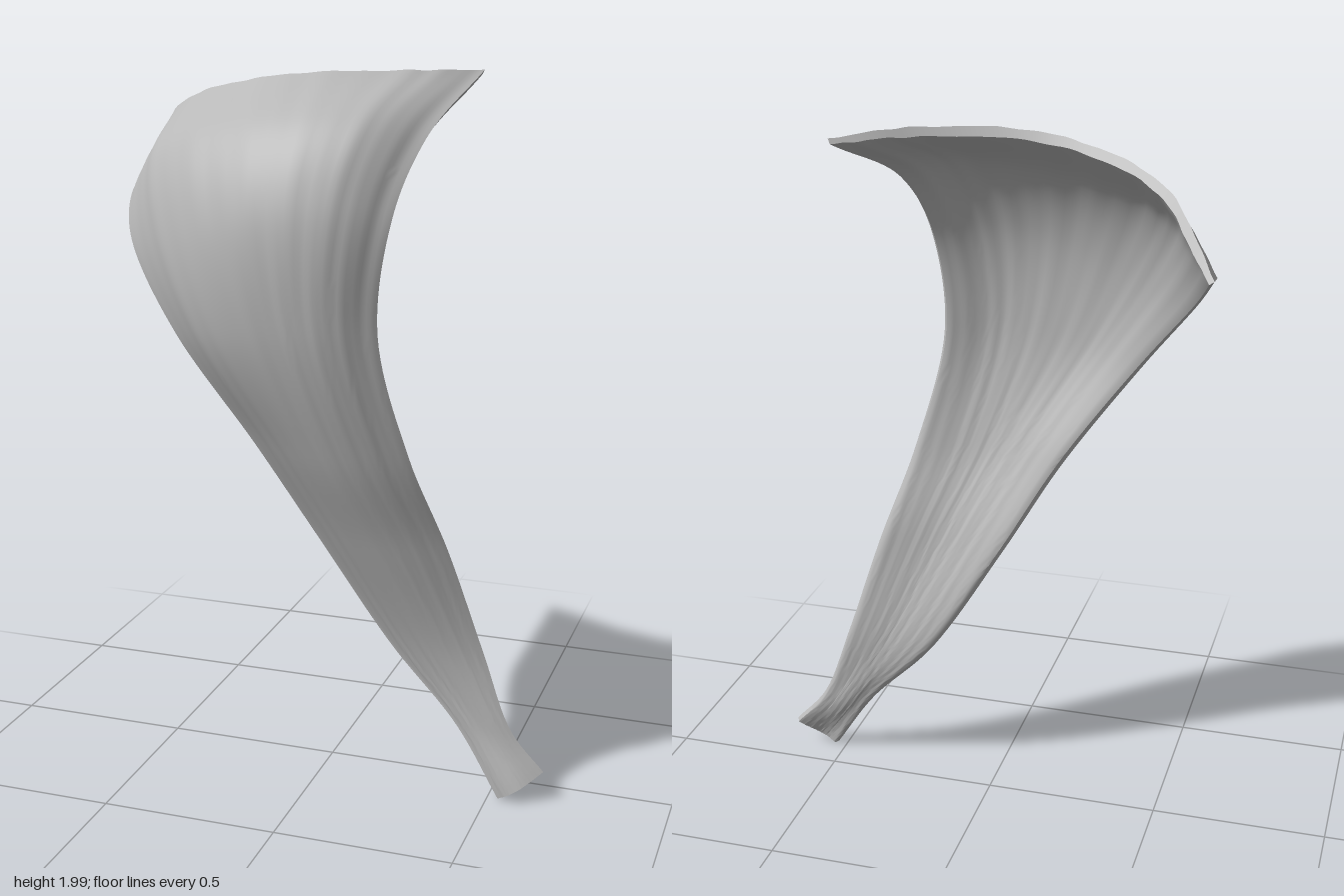
import * as THREE from 'three';
import { toCreasedNormals } from 'three/addons/utils/BufferGeometryUtils.js';

const curve = (pts) => new THREE.CatmullRomCurve3(pts.map((p) => new THREE.Vector3(...p)));

// Guide lines along the outer face, from the narrow foot to the flared rim
const guides = [
  [[0.53, 0.005, 0.12], [0.398, 0.2, 0.09], [0.2, 0.41, 0.072], [-0.005, 0.73, 0.12], [-0.165, 1, 0.18],
    [-0.38, 1.3, 0.21], [-0.545, 1.52, 0.115], [-0.61, 1.63, -0.02], [-0.655, 1.715, -0.335]],
  [[0.56, 0.025, 0.133], [0.437, 0.2, 0.102], [0.267, 0.415, 0.097], [0.093, 0.73, 0.17], [-0.055, 1, 0.245],
    [-0.24, 1.32, 0.31], [-0.37, 1.58, 0.256], [-0.45, 1.77, 0.125], [-0.47, 1.893, -0.1]],
  [[0.59, 0.045, 0.13], [0.477, 0.2, 0.102], [0.335, 0.42, 0.111], [0.19, 0.73, 0.19], [0.065, 1, 0.275],
    [-0.05, 1.35, 0.342], [-0.1, 1.66, 0.325], [-0.12, 1.85, 0.22], [-0.15, 1.978, 0.01]],
  [[0.62, 0.067, 0.11], [0.516, 0.2, 0.1], [0.402, 0.42, 0.1], [0.285, 0.73, 0.17], [0.18, 1, 0.26],
    [0.095, 1.36, 0.328], [0.11, 1.68, 0.302], [0.15, 1.88, 0.18], [0.19, 1.992, -0.085]],
  [[0.65, 0.09, 0.085], [0.555, 0.2, 0.085], [0.468, 0.42, 0.075], [0.373, 0.73, 0.125], [0.287, 1, 0.21],
    [0.21, 1.35, 0.26], [0.237, 1.65, 0.225], [0.283, 1.83, 0.095], [0.352, 1.985, -0.25]],
].map(curve);

const ROWS = 90;
const COLS = 56;

// Fine ridges that follow the fibres
function ridge(u, v) {
  const s = Math.sin(u * 47 + 2 * Math.sin(v * 5)) + 0.7 * Math.sin(u * 83 + 3 * Math.sin(v * 4 + u * 6));
  return 0.0014 * s * (0.3 + 0.7 * v);
}

// A fleshy belly that thins towards the long edges, the foot and the rim
function thickness(u, v) {
  const side = Math.pow(Math.max(0, Math.sin(Math.PI * u)), 0.6);
  const belly = 0.012 + 0.03 * Math.sin(Math.PI * v);
  return 0.016 + belly * side;
}

function sheetGeometry() {
  // Outer face sampled across the guide lines
  const grid = [];
  for (let r = 0; r <= ROWS; r++) {
    const across = new THREE.CatmullRomCurve3(guides.map((g) => g.getPoint(r / ROWS)));
    grid.push(across.getPoints(COLS));
  }

  // Each row becomes a closed loop: outer face, then inner face backwards
  const positions = [];
  const ringSize = 2 * (COLS + 1);
  const du = new THREE.Vector3();
  const dv = new THREE.Vector3();
  for (let r = 0; r <= ROWS; r++) {
    const v = r / ROWS;
    const outer = [];
    const inner = [];
    for (let c = 0; c <= COLS; c++) {
      const u = c / COLS;
      du.subVectors(grid[r][Math.min(c + 1, COLS)], grid[r][Math.max(c - 1, 0)]);
      dv.subVectors(grid[Math.min(r + 1, ROWS)][c], grid[Math.max(r - 1, 0)][c]);
      const n = du.clone().cross(dv).normalize();
      outer.push(grid[r][c].clone().addScaledVector(n, ridge(u, v)));
      inner.unshift(grid[r][c].clone().addScaledVector(n, ridge(u + 0.3, v) - thickness(u, v)));
    }
    for (const p of [...outer, ...inner]) positions.push(p.x, p.y, p.z);
  }

  const index = [];
  for (let r = 0; r < ROWS; r++) {
    for (let j = 0; j < ringSize; j++) {
      const k = (j + 1) % ringSize;
      const a = r * ringSize + j, b = r * ringSize + k;
      const c = b + ringSize, d = a + ringSize;
      index.push(a, b, c, a, c, d);
    }
  }
  // Close the foot and the rim
  const top = ROWS * ringSize;
  for (let c = 0; c < COLS; c++) {
    const i0 = ringSize - 1 - c, i1 = i0 - 1;
    index.push(c, i0, c + 1, c + 1, i0, i1);
    index.push(top + c, top + c + 1, top + i0, top + c + 1, top + i1, top + i0);
  }

  const geometry = new THREE.BufferGeometry();
  geometry.setAttribute('position', new THREE.Float32BufferAttribute(positions, 3));
  geometry.setIndex(index);
  return toCreasedNormals(geometry, 0.8);
}

export function createModel() {
  const group = new THREE.Group();
  group.name = 'fanShapedMuscle';
  const material = new THREE.MeshStandardMaterial({ color: 0xb8b8b8 });
  material.name = 'plain grey';
  const sheet = new THREE.Mesh(sheetGeometry(), material);
  sheet.name = 'muscleSheet';
  group.add(sheet);
  return group;
}
